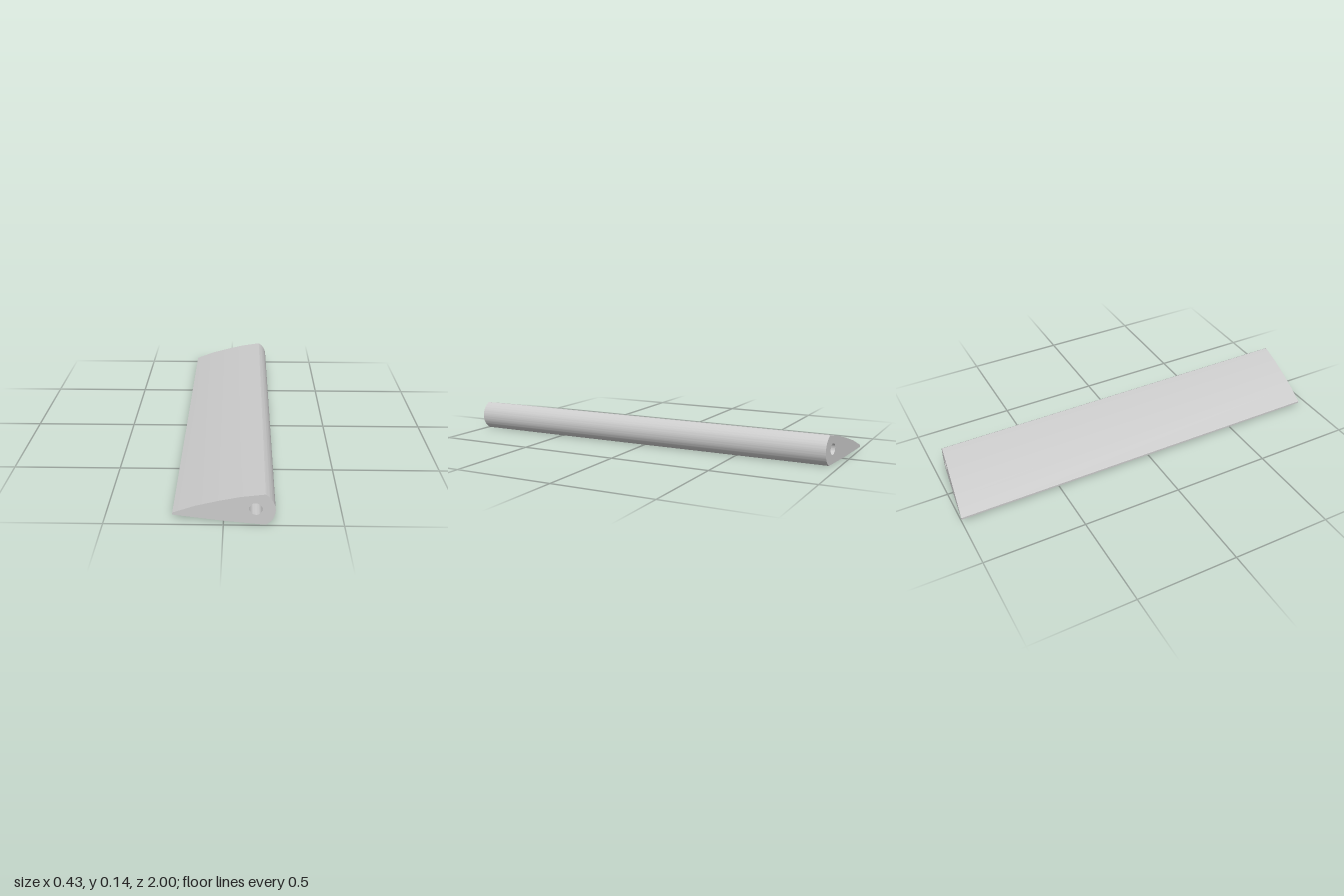
import * as THREE from 'three';
import { toCreasedNormals } from 'three/addons/utils/BufferGeometryUtils.js';

export function createModel() {
  const group = new THREE.Group();
  const span = 1.947; // blade length along z
  const shear = 0.123; // sweep of the slanted ends
  const cx = 0.134, cy = 0.073; // centre shared by nose and bore

  // Section: tapering blade with a rounded nose
  const section = new THREE.Shape();
  section.moveTo(-0.215, 0.017);
  section.lineTo(0, 0.006);
  section.lineTo(0.173, 0.002);
  const a = Math.atan2(0.071, 0.039);
  section.absarc(cx, cy, 0.081, -a, a, false);
  for (const [x, y] of [[0.07, 0.124], [-0.02, 0.099], [-0.12, 0.067], [-0.215, 0.027]]) {
    section.lineTo(x, y);
  }
  section.closePath();

  // Round bore for the pivot rod
  const bore = new THREE.Path();
  bore.absarc(cx, cy, 0.027, 0, Math.PI * 2, true);
  section.holes.push(bore);

  // Extrude along z, then shear so both ends are slanted
  const geometry = new THREE.ExtrudeGeometry(section, {
    depth: span, bevelEnabled: false, curveSegments: 20,
  });
  geometry.translate(0, 0, -span / 2);
  const p = geometry.attributes.position;
  for (let i = 0; i < p.count; i++) p.setZ(i, p.getZ(i) + shear * p.getX(i));

  const blade = new THREE.Mesh(
    toCreasedNormals(geometry, 0.5),
    new THREE.MeshStandardMaterial({ color: 0xcccccc }),
  );
  blade.name = 'blade';
  group.add(blade);
  return group;
}
